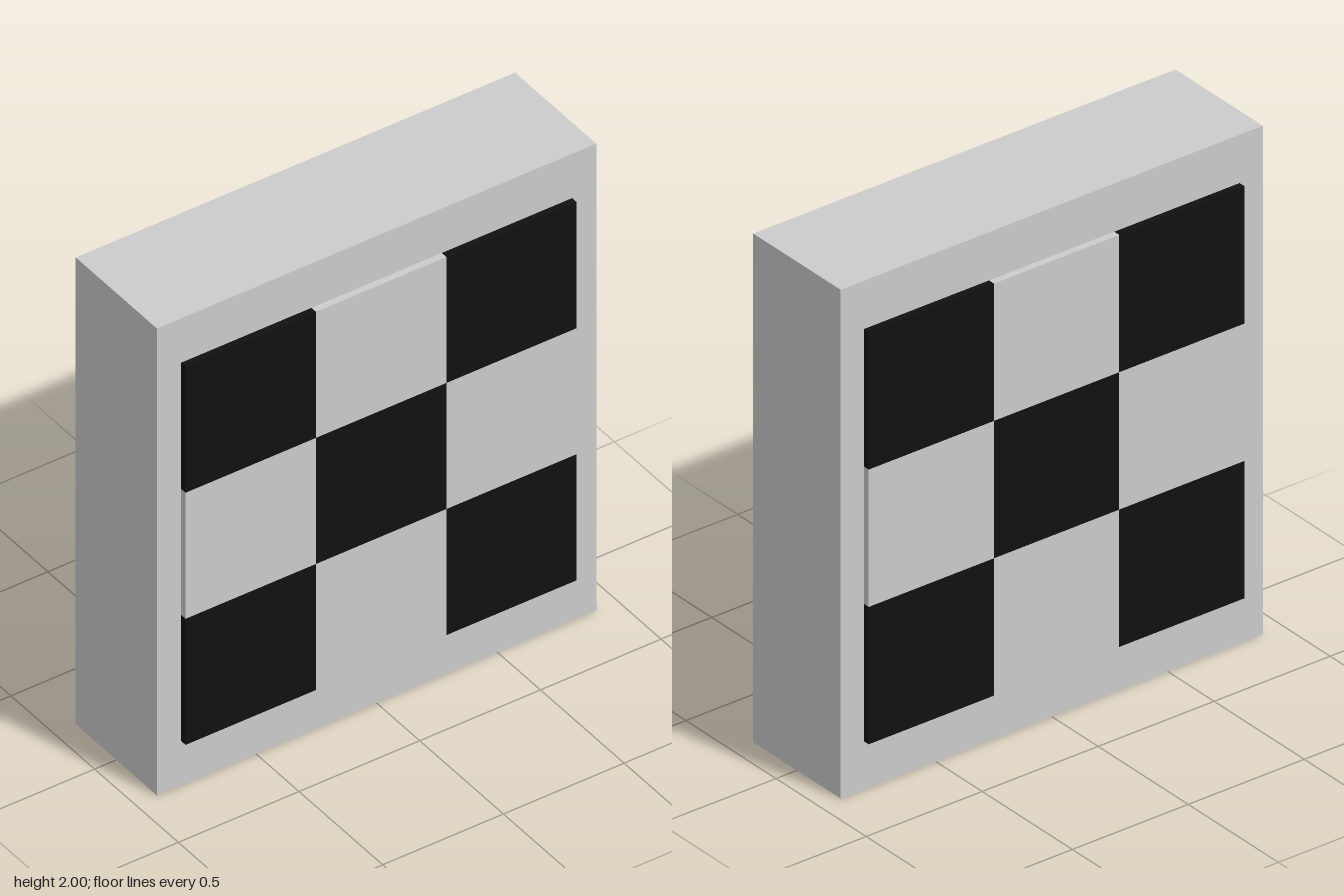
import * as THREE from 'three';

const TILE = 0.54;          // edge of one square tile
const DEPTH = 0.485;        // thickness of the slab
const RAISE = 0.027;        // how far tiles stand proud of the slab

export function createModel() {
  const group = new THREE.Group();
  group.name = 'checkeredPanel';
  const grey = new THREE.MeshStandardMaterial({ color: 0xcccccc });
  const black = new THREE.MeshStandardMaterial({ color: 0x111111 });

  // Upright slab
  const slab = new THREE.Mesh(new THREE.BoxGeometry(1.82, 2, DEPTH), grey);
  slab.name = 'slab';
  slab.position.y = 1;
  group.add(slab);

  // Raised 3 x 3 checkerboard on the front and the back
  const tileGeometry = new THREE.BoxGeometry(TILE, TILE, RAISE);
  for (const side of [1, -1]) {
    const board = new THREE.Group();
    board.name = side > 0 ? 'frontCheckerboard' : 'backCheckerboard';
    board.position.set(0, 1, side * (DEPTH + RAISE) / 2);
    for (let row = -1; row <= 1; row++) {
      for (let col = -1; col <= 1; col++) {
        const dark = (row + col) % 2 === 0;
        const tile = new THREE.Mesh(tileGeometry, dark ? black : grey);
        tile.name = dark ? 'darkTile' : 'lightTile';
        tile.position.set(col * TILE, row * TILE, 0);
        board.add(tile);
      }
    }
    group.add(board);
  }
  return group;
}
